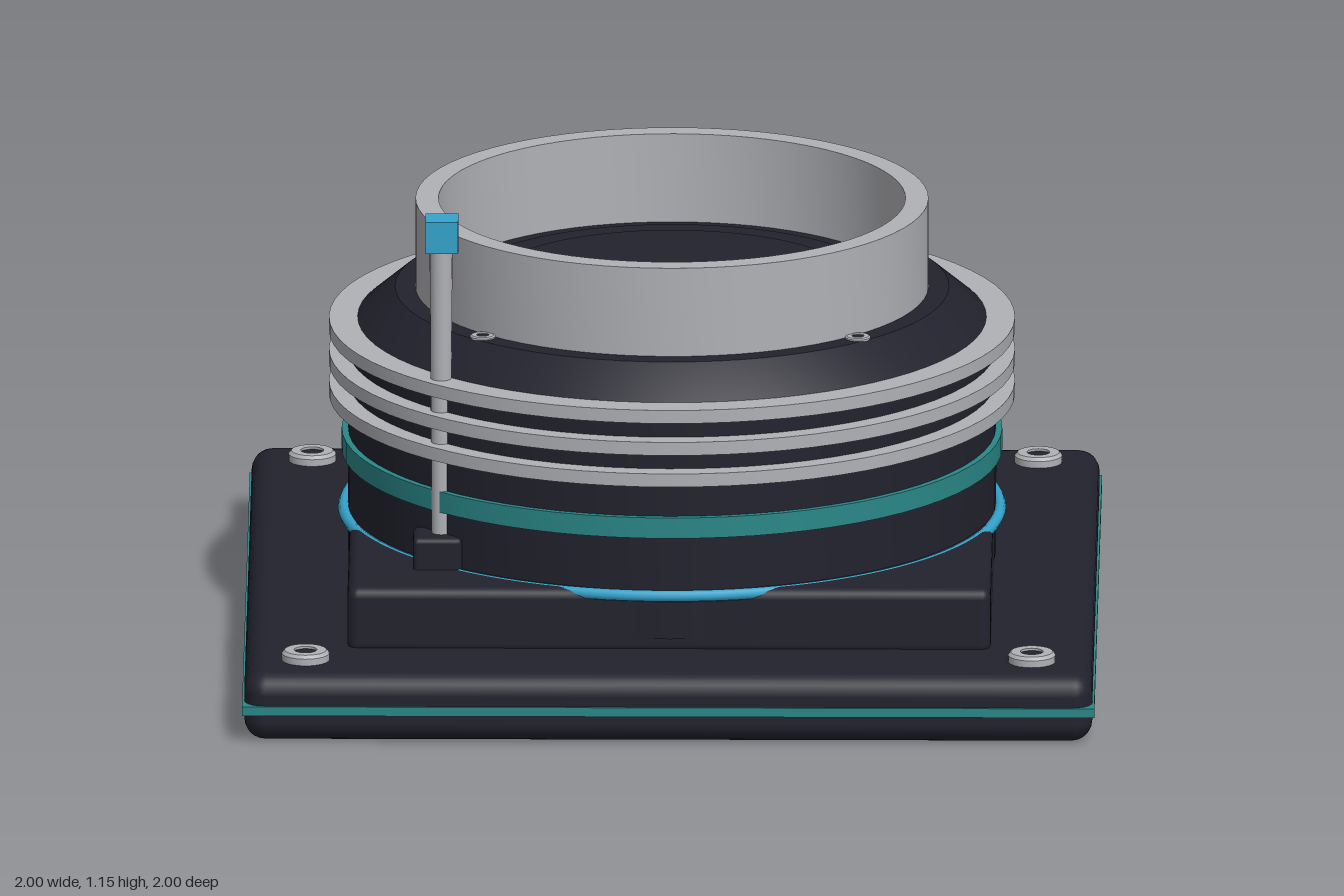
import * as THREE from 'three';
import { toCreasedNormals } from 'three/addons/utils/BufferGeometryUtils.js';
import { RoundedBoxGeometry } from 'three/addons/geometries/RoundedBoxGeometry.js';

const paint = (name, color) => Object.assign(new THREE.MeshStandardMaterial({ color }), { name });

export function createModel() {
  const dark = paint('dark casing', 0x22222e);
  const metal = paint('light metal', 0xb0b1b6);
  const teal = paint('teal trim', 0x2a8788);
  const blue = paint('bright blue', 0x35a3cc);

  const model = new THREE.Group();
  model.name = 'mountedLensHousing';

  const add = (name, geometry, material, x = 0, y = 0, z = 0, parent = model) => {
    const mesh = new THREE.Mesh(geometry, material);
    mesh.name = name;
    mesh.position.set(x, y, z);
    parent.add(mesh);
    return mesh;
  };
  // Turned part with crisp edges; outer profile runs upward
  const turned = (points, segments = 72) => toCreasedNormals(
    new THREE.LatheGeometry(points.map(([r, y]) => new THREE.Vector2(r, y)), segments), 0.4);
  const ring = (inner, outer, y0, y1, segments) => turned(
    [[inner, y1], [inner, y0], [outer, y0], [outer, y1], [inner, y1]], segments);
  const disc = (r, h, segments = 64) => new THREE.CylinderGeometry(r, r, h, segments);

  // Base plate with a trim line round its edge
  add('basePlate', new RoundedBoxGeometry(1.99, 0.165, 1.99, 3, 0.05), dark, 0, 0.0825, 0);
  add('baseTrim', new THREE.BoxGeometry(2, 0.022, 2), teal, 0, 0.08, 0);

  // Raised square slab
  add('slab', new RoundedBoxGeometry(1.51, 0.16, 1.51, 3, 0.025), dark, 0, 0.23, 0);

  // Round body with sloped shoulder
  add('body', turned([[0.76, 0.19], [0.76, 0.735], [0.745, 0.755], [0.65, 0.835], [0, 0.835]]), dark);

  // Glowing ring that shows past the slab edges
  const glow = add('glowRing', new THREE.TorusGeometry(0.77, 0.014, 8, 96), blue, 0, 0.298, 0);
  glow.rotation.x = Math.PI / 2;
  add('tealBand', ring(0.74, 0.775, 0.44, 0.49), teal);

  // Cooling fins
  for (const y of [0.59, 0.667, 0.745]) {
    add('fin', ring(0.735, 0.805, y - 0.016, y + 0.016), metal);
  }

  // Upper collar and stepped floor inside it
  add('collar', ring(0.548, 0.602, 0.83, 1.05), metal);
  add('innerStep', disc(0.5, 0.008), dark, 0, 0.839, 0);
  add('innerDisc', disc(0.43, 0.008), dark, 0, 0.845, 0);

  // Screws: a metal washer ring round a dark hexagonal socket
  const screw = (name, x, y, z, r, h) => {
    const group = new THREE.Group();
    group.name = name;
    group.position.set(x, y, z);
    add('screwHead', turned([[r * 0.48, h], [r * 0.48, 0], [r, 0], [r, h * 0.7], [r * 0.88, h], [r * 0.48, h]], 24),
      metal, 0, 0, 0, group);
    add('screwSocket', disc(r * 0.52, h * 0.8, 6), dark, 0, h * 0.4, 0, group);
    model.add(group);
  };
  for (const sx of [-1, 1]) {
    for (const sz of [-1, 1]) {
      screw('cornerScrew', sx * 0.852, 0.163, sz * 0.852, 0.056, 0.026);
      screw('shoulderScrew', sx * 0.44, 0.832, sz * 0.44, 0.03, 0.009);
    }
  }

  // Upright lever with a cube tip
  add('leverFoot', new RoundedBoxGeometry(0.115, 0.09, 0.115, 2, 0.012), dark, -0.545, 0.34, 0.535);
  add('leverRod', new THREE.CylinderGeometry(0.027, 0.022, 0.72, 20), metal, -0.537, 0.725, 0.533);
  add('leverTip', new THREE.BoxGeometry(0.077, 0.077, 0.077), blue, -0.535, 1.112, 0.528);

  // Button panel at the back
  add('buttonPanel', new RoundedBoxGeometry(0.52, 0.1, 0.03, 2, 0.012), dark, 0.44, 0.243, -0.758);
  for (let i = 0; i < 5; i++) {
    const x = 0.248 + i * 0.096;
    const bezel = add('buttonBezel', disc(0.04, 0.04, 24), dark, x, 0.243, -0.764);
    const button = add('button', disc(0.03, 0.006, 24), blue, x, 0.243, -0.784);
    bezel.rotation.x = button.rotation.x = Math.PI / 2;
  }

  return model;
}
